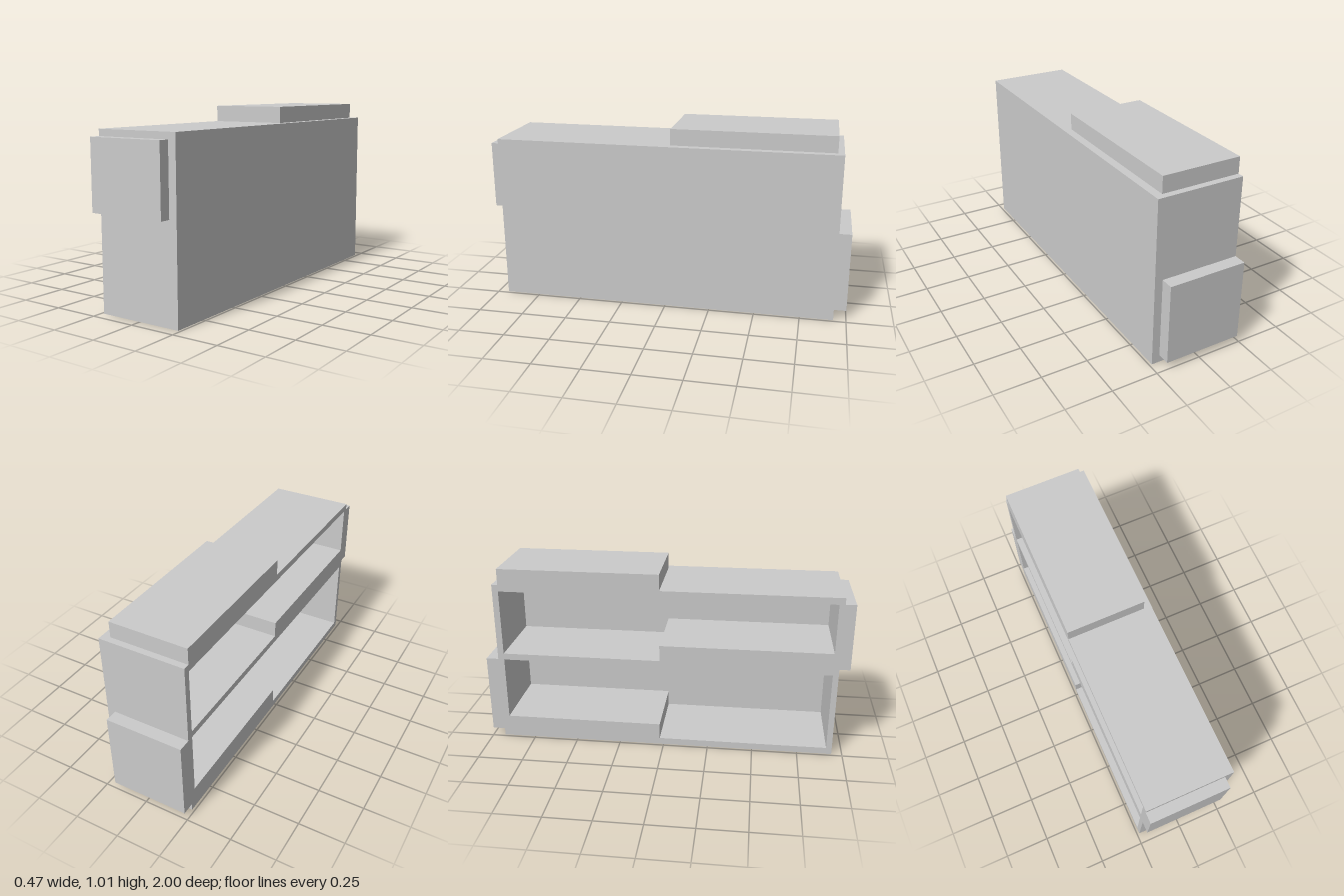
import * as THREE from 'three';

const material = new THREE.MeshStandardMaterial({ color: 0xcccccc, flatShading: true });

// Points are [z, y]; the shape's own x axis becomes -z once the extrusion is turned
const points = (list) => list.map(([z, y]) => new THREE.Vector2(-z, y));

export function createModel() {
  const model = new THREE.Group();
  model.name = 'openCase';

  const back = -0.932, front = 0.942, top = 0.917; // body limits
  const left = 0.236, panelInner = 0.193;          // solid side panel
  const step = -0.022;                             // where both inner ledges end

  // Outline of the walls with the three tabs: front, top and back (clockwise)
  const outline = new THREE.Shape(points([
    [back, 0], [front, 0],
    [front, 0.516], [1, 0.516], [1, 0.882], [front, 0.882],
    [front, top], [step, top], [step, 1.006], [-0.898, 1.006], [-0.898, top],
    [back, top], [back, 0.482], [-1, 0.482], [-1, 0.041], [back, 0.041],
  ]));

  // Two stepped compartments, wound against the outline so their walls face inwards
  const z0 = -0.898, z1 = 0.911;
  const lower = [[z0, 0.125], [z0, 0.48], [z1, 0.48], [z1, 0.037], [step, 0.037], [step, 0.125]];
  const upper = [[z0, 0.516], [z0, 0.88], [z1, 0.88], [z1, 0.605], [step, 0.605], [step, 0.516]];
  for (const hole of [lower, upper]) outline.holes.push(new THREE.Path(points(hole)));

  const frameGeometry = new THREE.ExtrudeGeometry(outline, {
    depth: panelInner + left, bevelEnabled: false,
  });
  frameGeometry.rotateY(Math.PI / 2);
  const frame = new THREE.Mesh(frameGeometry, material);
  frame.name = 'tabbedFrame';
  frame.position.x = -left;
  model.add(frame);

  // Closed side panel
  const panel = new THREE.Mesh(
    new THREE.BoxGeometry(left - panelInner, top, front - back), material);
  panel.name = 'sidePanel';
  panel.position.set((left + panelInner) / 2, top / 2, (front + back) / 2);
  model.add(panel);

  return model;
}
